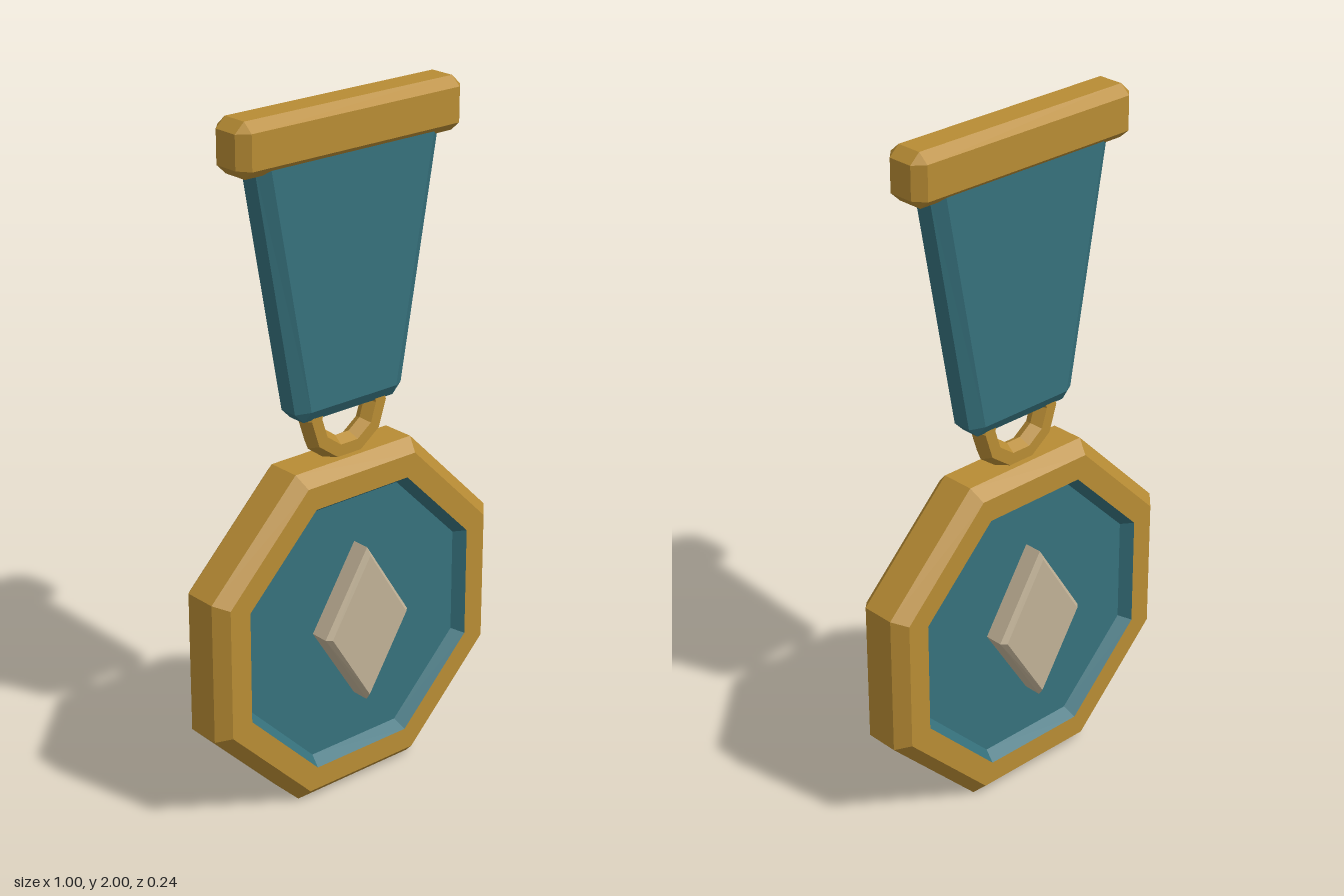
import * as THREE from 'three';

const gold = new THREE.MeshStandardMaterial({ color: 0xb88c34 });
gold.name = 'gold';
const teal = new THREE.MeshStandardMaterial({ color: 0x36717c });
teal.name = 'teal';
const ivory = new THREE.MeshStandardMaterial({ color: 0xc0b196 });
ivory.name = 'ivory';

// Faceted mesh: every face gets its own normals
function faceted(name, geometry, material) {
  const geo = geometry.index ? geometry.toNonIndexed() : geometry;
  geo.computeVertexNormals();
  const mesh = new THREE.Mesh(geo, material);
  mesh.name = name;
  return mesh;
}

// Convex plate with bevelled faces front and back; both outlines run
// counter-clockwise and have the same number of points
function bevelledPlate(name, outline, face, sideZ, faceZ, material) {
  const rings = [[face, -faceZ], [outline, -sideZ], [outline, sideZ], [face, faceZ]];
  const n = outline.length;
  const position = [];
  const index = [];
  for (const [points, z] of rings) for (const [x, y] of points) position.push(x, y, z);
  for (let r = 0; r < 3; r++) {
    for (let i = 0; i < n; i++) {
      const a = r * n + i, b = r * n + (i + 1) % n;
      index.push(a, b, b + n, a, b + n, a + n);
    }
  }
  for (let i = 1; i < n - 1; i++) {
    index.push(0, i + 1, i, 3 * n, 3 * n + i, 3 * n + i + 1);
  }
  const geo = new THREE.BufferGeometry();
  geo.setAttribute('position', new THREE.Float32BufferAttribute(position, 3));
  geo.setIndex(index);
  return faceted(name, geo, material);
}

// Eight-sided turned shape facing z; profile is [apothem, z]
function octagonTurn(name, profile, material) {
  const k = 1 / Math.cos(Math.PI / 8);
  const points = profile.map(([a, z]) => new THREE.Vector2(a * k, z));
  const geo = new THREE.LatheGeometry(points, 8, Math.PI / 8);
  geo.rotateX(Math.PI / 2);
  return faceted(name, geo, material);
}

// Adds the mirrored (-x) half to points listed bottom to top on the +x side
function mirrored(half) {
  return [...half, ...half.map(([x, y]) => [-x, y]).reverse()];
}

export function createModel() {
  const model = new THREE.Group();
  model.name = 'medal';

  // Octagonal disc: gold rim with a teal recess on each side
  const disc = new THREE.Group();
  disc.name = 'disc';
  disc.position.y = 0.502;
  disc.add(octagonTurn('rim', [
    [0.4, -0.087], [0.467, -0.087], [0.502, -0.05],
    [0.502, 0.05], [0.467, 0.087], [0.4, 0.087],
  ], gold));
  disc.add(octagonTurn('frontRecess', [[0.4, 0.087], [0.377, 0.052], [0, 0.052]], teal));
  disc.add(octagonTurn('backRecess', [[0, -0.052], [0.377, -0.052], [0.4, -0.087]], teal));
  model.add(disc);

  // Diamond running through the disc
  const rhombus = (w, h) => [[0, -h], [w, 0], [0, h], [-w, 0]];
  const diamond = bevelledPlate('diamond', rhombus(0.152, 0.238), rhombus(0.137, 0.217), 0.106, 0.12, ivory);
  diamond.position.y = 0.508;
  model.add(diamond);

  // Hanging ring, its upper half inside the ribbon
  const ring = faceted('hangingRing', new THREE.TorusGeometry(0.115, 0.036, 6, 10), gold);
  ring.position.y = 1.13;
  model.add(ring);

  // Tapered ribbon
  model.add(bevelledPlate('ribbon',
    mirrored([[0.16, 1.135], [0.19, 1.165], [0.322, 1.9]]),
    mirrored([[0.152, 1.17], [0.152, 1.17], [0.287, 1.9]]),
    0.028, 0.052, teal));

  // Top bar with cut corners
  model.add(bevelledPlate('topBar',
    mirrored([[0.355, 1.85], [0.385, 1.878], [0.385, 1.972], [0.355, 2.0]]),
    mirrored([[0.355, 1.876], [0.355, 1.876], [0.355, 1.974], [0.355, 1.974]]),
    0.038, 0.068, gold));

  return model;
}
